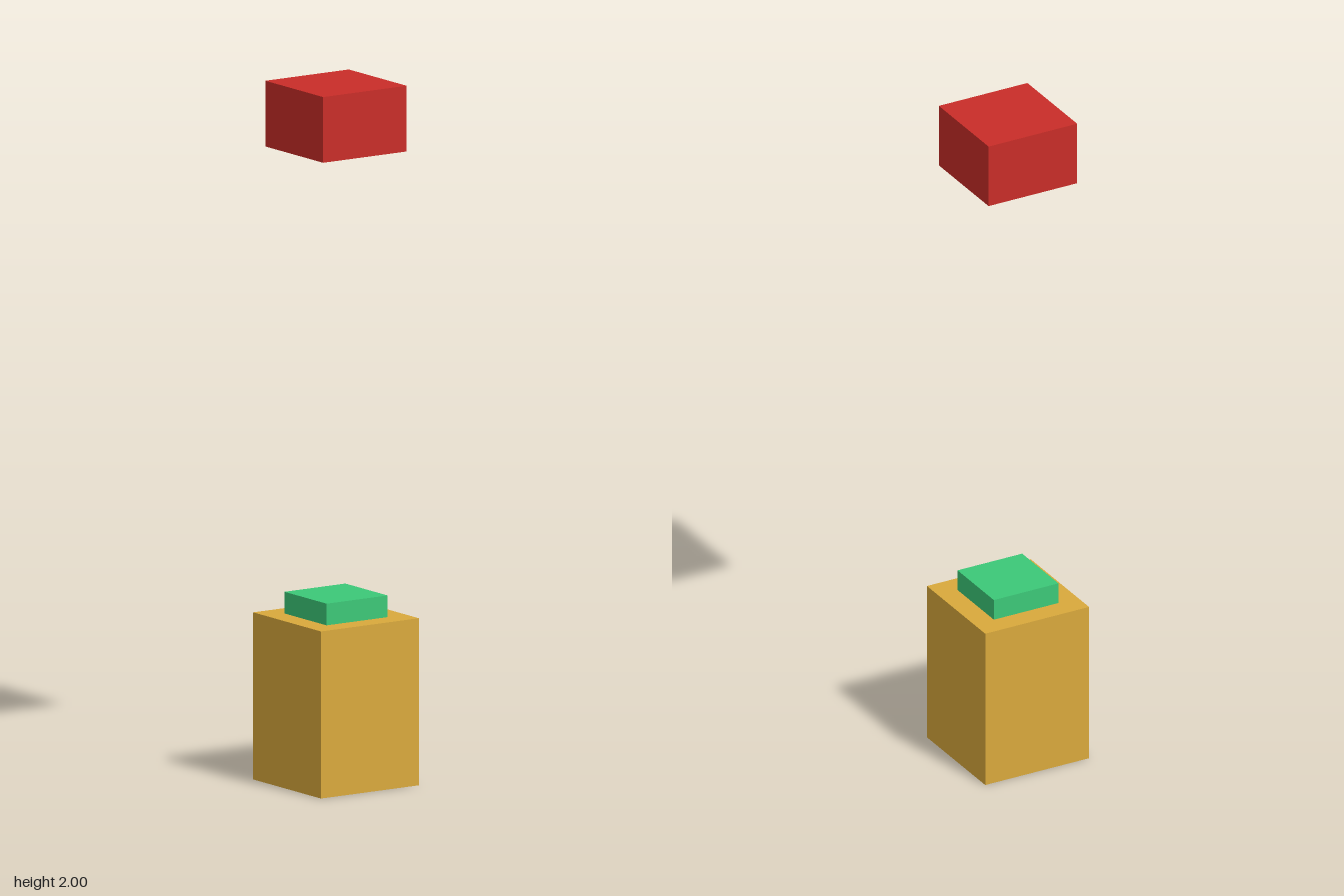
import * as THREE from 'three';

// Square block centred on the y axis, spanning bottom to top
function block(name, width, bottom, top, color) {
  const mesh = new THREE.Mesh(
    new THREE.BoxGeometry(width, top - bottom, width),
    new THREE.MeshStandardMaterial({ color })
  );
  mesh.name = name;
  mesh.position.y = (bottom + top) / 2;
  return mesh;
}

export function createModel() {
  const model = new THREE.Group();
  model.name = 'floatingBlockStack';
  model.add(
    block('base', 0.334, 0, 0.478, 0xd9a93c),
    block('basePad', 0.208, 0.478, 0.54, 0x3cc878),
    block('floatingBlock', 0.285, 1.812, 2, 0xc92d28)
  );
  return model;
}
